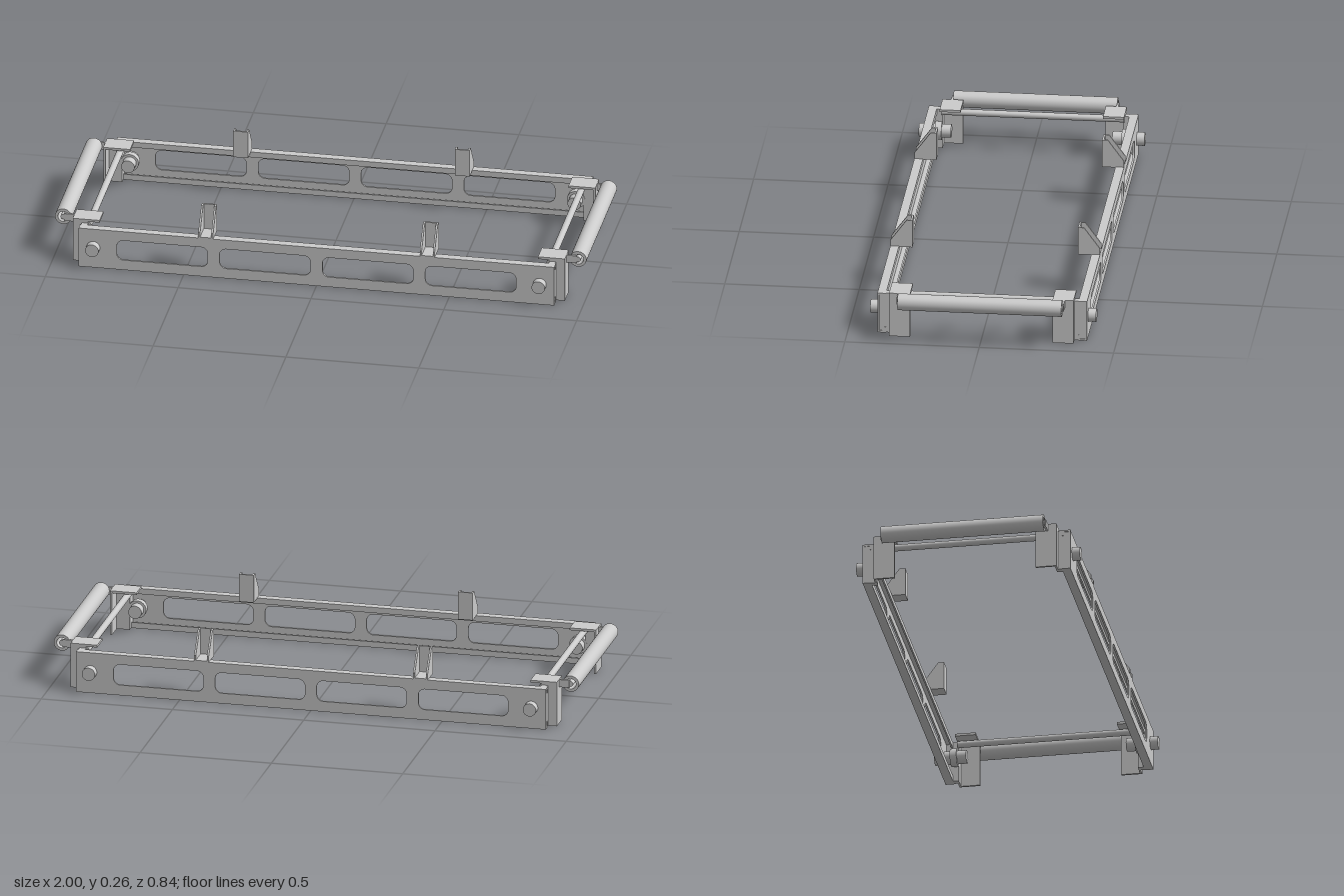
import * as THREE from 'three';

const mat = new THREE.MeshStandardMaterial({ color: 0xcccccc, side: THREE.DoubleSide });

function add(parent, name, geometry, x = 0, y = 0, z = 0) {
  const mesh = new THREE.Mesh(geometry, mat);
  mesh.name = name;
  mesh.position.set(x, y, z);
  parent.add(mesh);
  return mesh;
}

// Box given by its minimum and maximum along each axis
function box(parent, name, x0, x1, y0, y1, z0, z1) {
  return add(parent, name, new THREE.BoxGeometry(Math.abs(x1 - x0), y1 - y0, z1 - z0),
    (x0 + x1) / 2, (y0 + y1) / 2, (z0 + z1) / 2);
}

// Cylinder lying along z
function rod(parent, name, r, x, y, z0, z1) {
  const g = new THREE.CylinderGeometry(r, r, z1 - z0, 32).rotateX(Math.PI / 2);
  return add(parent, name, g, x, y, (z0 + z1) / 2);
}

function roundedSlot(x0, x1, y0, y1, r) {
  const p = new THREE.Path();
  p.moveTo(x0 + r, y0);
  p.lineTo(x1 - r, y0);
  p.absarc(x1 - r, y0 + r, r, -Math.PI / 2, 0);
  p.absarc(x1 - r, y1 - r, r, 0, Math.PI / 2);
  p.absarc(x0 + r, y1 - r, r, Math.PI / 2, Math.PI);
  p.absarc(x0 + r, y0 + r, r, Math.PI, Math.PI * 1.5);
  return p;
}

// C-channel rail with four slots in its web
function makeRail() {
  const rail = new THREE.Group();
  rail.name = 'sideRail';
  const L = 0.895, H = 0.157;
  const web = new THREE.Shape([[-L, 0], [L, 0], [L, H], [-L, H]].map(p => new THREE.Vector2(...p)));
  for (let i = 0; i < 4; i++) {
    const cx = (i - 1.5) * 0.387;
    web.holes.push(roundedSlot(cx - 0.171, cx + 0.171, 0.04, 0.12, 0.025));
  }
  add(rail, 'railWeb', new THREE.ExtrudeGeometry(web, { depth: 0.007, bevelEnabled: false, curveSegments: 8 }), 0, 0, 0.383);
  box(rail, 'railTopFlange', -L, L, H - 0.007, H, 0.358, 0.384);
  box(rail, 'railBottomFlange', -L, L, 0, 0.007, 0.358, 0.384);
  box(rail, 'railTopLip', -L, L, H - 0.022, H, 0.358, 0.364);
  box(rail, 'railBottomLip', -L, L, 0, 0.022, 0.358, 0.364);
  return rail;
}

// Folded hanger: flat inner wall, two sloped cheeks, open to the outside
function makeHanger(x) {
  const hanger = new THREE.Group();
  hanger.name = 'hanger';
  const outline = [[0.308, 0.155], [0.39, 0.155], [0.39, 0.18], [0.33, 0.262], [0.308, 0.262]];
  const cheek = new THREE.Shape(outline.map(p => new THREE.Vector2(...p)));
  const g = new THREE.ExtrudeGeometry(cheek, { depth: 0.007, bevelEnabled: false }).rotateY(-Math.PI / 2);
  add(hanger, 'hangerCheek', g, x - 0.021);
  add(hanger, 'hangerCheek', g, x + 0.028);
  box(hanger, 'hangerInnerWall', x - 0.028, x + 0.028, 0.155, 0.262, 0.308, 0.315);
  box(hanger, 'hangerFoot', x - 0.028, x + 0.028, 0.155, 0.161, 0.308, 0.39);
  return hanger;
}

// Corner bracket: end plate, outer wall and top flap, joined to the rail
function makeCorner(s) {
  const corner = new THREE.Group();
  corner.name = 'cornerBracket';
  box(corner, 'endPlate', s * 0.918, s * 0.926, 0, 0.172, 0.265, 0.343);
  box(corner, 'outerWall', s * 0.868, s * 0.926, 0, 0.172, 0.336, 0.343);
  box(corner, 'topFlap', s * 0.825, s * 0.926, 0.163, 0.172, 0.265, 0.343);
  box(corner, 'railTab', s * 0.868, s * 0.892, 0, 0.157, 0.34, 0.386);
  box(corner, 'rollerTab', s * 0.918, s * 0.965, 0.143, 0.172, 0.303, 0.311);
  // Pin through the rail, with an inner collar
  rod(corner, 'pin', 0.025, s * 0.84, 0.082, 0.3, 0.42);
  rod(corner, 'pinCollar', 0.034, s * 0.84, 0.082, 0.335, 0.36);
  return corner;
}

export function createModel() {
  const model = new THREE.Group();
  model.name = 'rollerFrame';

  // Both long sides; the back is the front turned half round
  for (const [name, turn] of [['frontSide', 0], ['backSide', Math.PI]]) {
    const side = new THREE.Group();
    side.name = name;
    side.rotation.y = turn;
    side.add(makeRail());
    for (const s of [-1, 1]) side.add(makeHanger(s * 0.417), makeCorner(s));
    model.add(side);
  }

  // Hollow end rollers and the cross rods beside them
  const wall = [[0.02, -0.305], [0.031, -0.305], [0.031, -0.305], [0.031, 0.305],
    [0.031, 0.305], [0.02, 0.305], [0.02, 0.305], [0.02, -0.305]];
  const tube = new THREE.LatheGeometry(wall.map(p => new THREE.Vector2(...p)), 40).rotateX(Math.PI / 2);
  for (const s of [-1, 1]) {
    add(model, 'endRoller', tube, s * 0.969, 0.157, 0);
    rod(model, 'rollerAxle', 0.01, s * 0.969, 0.157, -0.308, 0.308);
    rod(model, 'crossRod', 0.0125, s * 0.868, 0.147, -0.34, 0.34);
  }
  return model;
}
